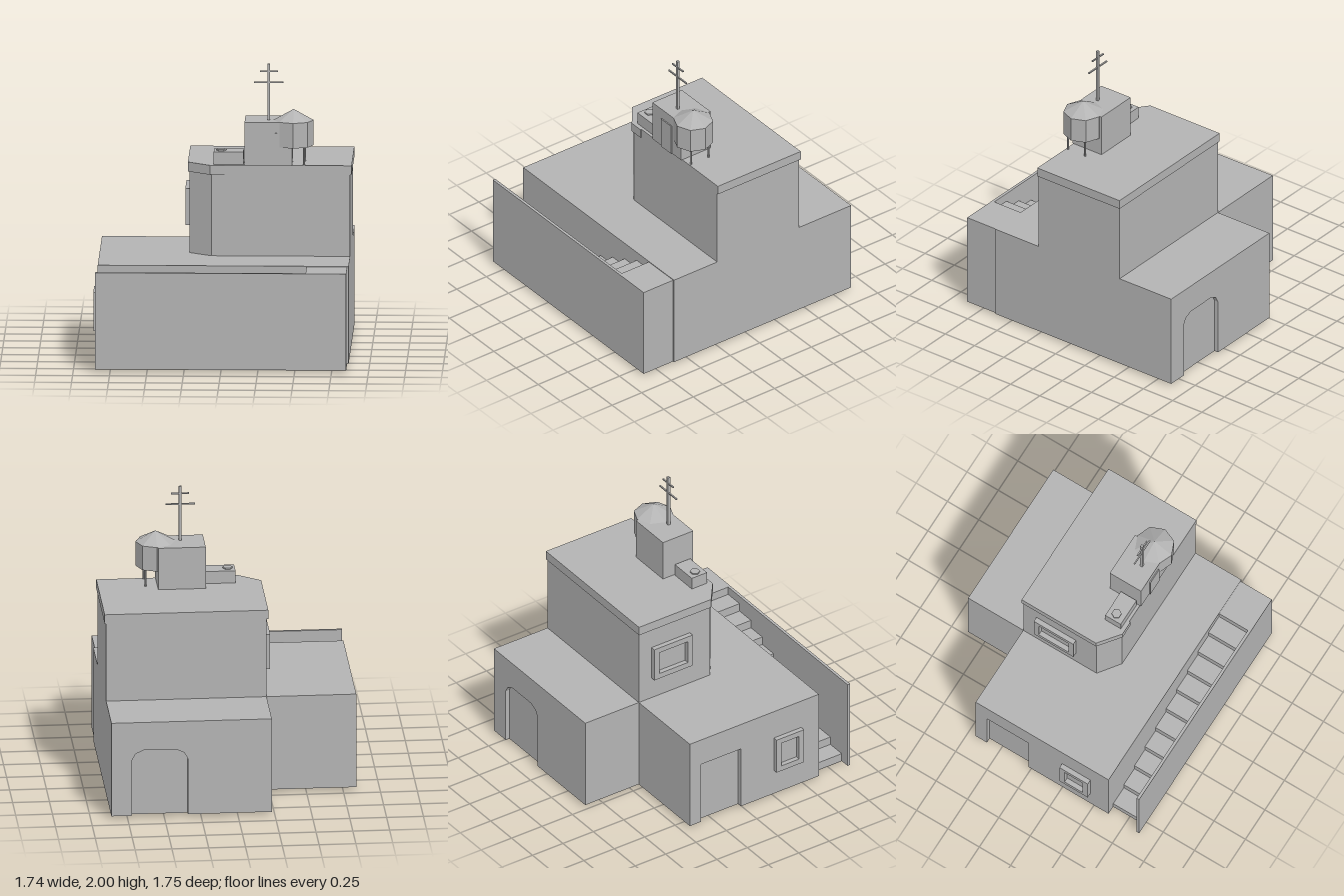
import * as THREE from 'three';

export function createModel() {
  const model = new THREE.Group();
  model.name = 'flatRoofedHouse';
  const plaster = new THREE.MeshStandardMaterial({ color: 0xb3b3b3, flatShading: true });
  plaster.name = 'grey plaster';

  const add = (name, geometry) => {
    const mesh = new THREE.Mesh(geometry, plaster);
    mesh.name = name;
    model.add(mesh);
    return mesh;
  };
  // Box given by its lower and upper limits on each axis
  const box = (name, x0, x1, y0, y1, z0, z1) =>
    add(name, new THREE.BoxGeometry(x1 - x0, y1 - y0, z1 - z0)
      .translate((x0 + x1) / 2, (y0 + y1) / 2, (z0 + z1) / 2));
  const shapeOf = (points) => new THREE.Shape(points.map(([x, y]) => new THREE.Vector2(x, y)));
  const extrude = (shape, depth) => new THREE.ExtrudeGeometry(shape, { depth, bevelEnabled: false });
  // Floor plan (x, z) raised from y0 to y1
  const plan = (name, points, y0, y1) =>
    add(name, extrude(shapeOf(points.map(([x, z]) => [x, -z])), y1 - y0)
      .rotateX(-Math.PI / 2).translate(0, y0, 0));

  const ground = 0.02, floor = 0.69, roof = 1.315;

  // Ground floor, each block set back behind a wall that has a doorway notch
  box('mainBlock', -0.805, 0.86, ground, floor, -0.44, 0.62);
  box('backBlock', -0.23, 0.86, ground, floor, -0.85, -0.44);

  const sideWall = shapeOf([
    [-0.44, ground], [-0.35, ground], [-0.35, 0.49], [-0.02, 0.49], [-0.02, ground],
    [0.62, ground], [0.62, floor], [-0.44, floor],
  ]);
  add('sideDoorWall', extrude(sideWall, 0.035).rotateY(-Math.PI / 2).translate(-0.805, 0, 0));

  const backWall = shapeOf([
    [-0.86, ground], [-0.72, ground], [-0.72, 0.42], [-0.695, 0.465], [-0.64, 0.49],
    [-0.42, 0.49], [-0.365, 0.465], [-0.34, 0.42], [-0.34, ground],
    [0.23, ground], [0.23, floor], [-0.86, floor],
  ]);
  add('backDoorWall', extrude(backWall, 0.03).rotateY(Math.PI).translate(0, 0, -0.85));

  // Stair passage behind the front wall
  box('frontWall', -0.85, 0.85, ground, 0.685, 0.85, 0.87);
  const rise = 0.0605, run = 0.1355;
  for (let i = 0; i < 10; i++) {
    const x = -0.78 + i * run, top = ground + (i + 1) * rise;
    box('stairStep', x, x + run, Math.max(ground, top - 0.07), top, 0.62, 0.85);
  }
  box('stairLanding', 0.575, 0.85, 0.615, 0.685, 0.62, 0.85);
  box('stairEndWall', 0.83, 0.85, ground, 0.685, 0.62, 0.85);
  box('frontDoor', -0.2, -0.02, 0, 0.25, 0.615, 0.624);

  // Upper floor with one cut corner, and its roof band
  plan('upperFloor', [
    [-0.23, -0.44], [0.86, -0.44], [0.86, 0.255], [-0.08, 0.255], [-0.23, 0.145],
  ], floor, 1.25);
  plan('roofBand', [
    [-0.242, -0.446], [0.87, -0.446], [0.87, 0.256], [0.01, 0.256], [0.01, 0.265],
    [-0.09, 0.265], [-0.242, 0.147],
  ], 1.25, roof);

  // Projecting window frames on the side walls
  const windowFrame = (name, wallX, y0, y1, z0, z1, border = 0.04) => {
    const frame = shapeOf([[z0, y0], [z1, y0], [z1, y1], [z0, y1]]);
    const a = z0 + border, b = z1 - border, c = y0 + border, d = y1 - border;
    frame.holes.push(shapeOf([[a, c], [a, d], [b, d], [b, c]]));
    add(name, extrude(frame, 0.034).rotateY(-Math.PI / 2).translate(wallX, 0, 0));
  };
  windowFrame('lowerWindowFrame', -0.84, 0.21, 0.475, 0.25, 0.475);
  windowFrame('upperWindowFrame', -0.23, 0.85, 1.1, -0.335, -0.02);

  // Roof hut with door, and a vent box with a hexagonal cap
  box('roofHut', 0.145, 0.468, roof, 1.613, 0.017, 0.266);
  box('roofHutDoor', 0.25, 0.365, roof, 1.54, 0.266, 0.274);
  box('ventBox', -0.065, 0.137, roof, 1.402, 0.11, 0.235);
  add('ventCap', new THREE.CylinderGeometry(0.034, 0.034, 0.01, 6)
    .rotateY(Math.PI / 6).translate(-0.015, 1.407, 0.17));
  model.getObjectByName('ventCap').geometry.rotateY(0);

  // Octagonal water tank on legs
  const tx = 0.475, tz = 0.168;
  add('waterTank', new THREE.CylinderGeometry(0.136, 0.136, 0.173, 8).translate(tx, 1.5265, tz));
  add('waterTankRoof', new THREE.ConeGeometry(0.136, 0.075, 8).translate(tx, 1.6505, tz));
  for (const sx of [-1, 1]) for (const sz of [-1, 1]) {
    add('waterTankLeg', new THREE.CylinderGeometry(0.008, 0.008, 0.13, 6)
      .translate(tx + sx * 0.073, 1.378, tz + sz * 0.073));
  }

  // Aerial mast with two crossbars
  box('mast', 0.297, 0.316, 1.61, 2, 0.164, 0.182);
  box('mastLongBar', 0.207, 0.407, 1.868, 1.877, 0.168, 0.178);
  box('mastShortBar', 0.246, 0.368, 1.944, 1.953, 0.168, 0.178);

  return model;
}
